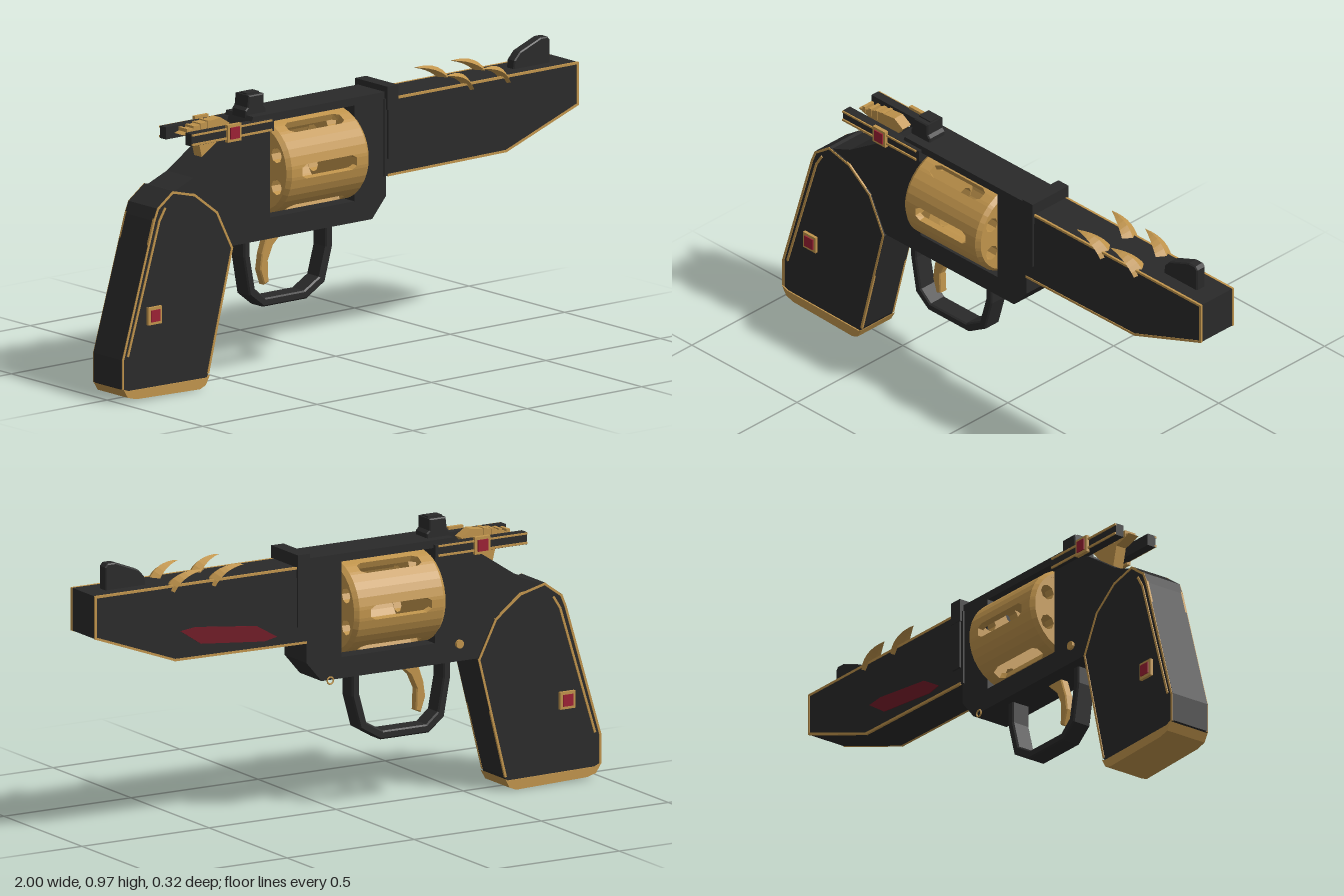
import * as THREE from 'three';

const mat = (name, color, side = THREE.FrontSide) => {
  const m = new THREE.MeshStandardMaterial({ color, side, flatShading: true });
  m.name = name;
  return m;
};

export function createModel() {
  const root = new THREE.Group();
  root.name = 'revolver';
  const dark = mat('blackened steel', 0x2a2a2a);
  const gold = mat('gold', 0xc0944c, THREE.DoubleSide);
  const red = mat('red inlay', 0x701a26);
  const gemRed = mat('red gem', 0x9c2034);

  const add = (name, geo, m, x = 0, y = 0, z = 0) => {
    const mesh = new THREE.Mesh(geo, m);
    mesh.name = name;
    mesh.position.set(x, y, z);
    root.add(mesh);
    return mesh;
  };
  const shapeOf = pts => new THREE.Shape(pts.map(p => new THREE.Vector2(...p)));
  const pathOf = pts => new THREE.Path(pts.map(p => new THREE.Vector2(...p)));
  // side profile extruded to a half width, centred on z
  const slab = (name, pts, half, m, { hole, bevel = 0, z = 0 } = {}) => {
    const s = shapeOf(pts);
    if (hole) s.holes.push(pathOf(hole));
    const depth = 2 * (half - bevel);
    const g = new THREE.ExtrudeGeometry(s, {
      depth, bevelEnabled: bevel > 0, bevelSize: bevel, bevelOffset: -bevel,
      bevelThickness: bevel, bevelSegments: 1, curveSegments: 8
    });
    g.translate(0, 0, -depth / 2);
    return add(name, g, m, 0, 0, z);
  };
  const box = (name, x0, x1, y0, y1, half, m, z = 0) =>
    add(name, new THREE.BoxGeometry(x1 - x0, y1 - y0, half * 2), m, (x0 + x1) / 2, (y0 + y1) / 2, z);
  // thin gold lines along an edge, on both sides
  const trim = (name, pts, half, w = 0.008) => {
    for (const s of [1, -1]) {
      for (let i = 1; i < pts.length; i++) {
        const [ax, ay] = pts[i - 1], [bx, by] = pts[i];
        const g = new THREE.BoxGeometry(Math.hypot(bx - ax, by - ay) + w * 0.6, w, 0.008);
        const b = add(name, g, gold, (ax + bx) / 2, (ay + by) / 2, s * half);
        b.rotation.z = Math.atan2(by - ay, bx - ax);
      }
    }
  };

  // frame with cylinder window
  slab('frame', [[0.16, 0.9], [-0.42, 0.9], [-0.44, 0.85], [-0.52, 0.835], [-0.68, 0.73], [-0.78, 0.69],
    [-0.72, 0.62], [-0.53, 0.47], [0.1, 0.47], [0.16, 0.54]], 0.07, dark,
  { hole: [[-0.346, 0.543], [0.022, 0.543], [0.022, 0.873], [-0.346, 0.873]] });

  // barrel, its trim, band and sights
  slab('barrel', [[0.15, 0.61], [0.68, 0.615], [0.995, 0.73], [0.995, 0.877], [0.15, 0.877]], 0.076, dark);
  trim('barrelTrim', [[0.2, 0.874], [0.993, 0.874], [0.993, 0.732], [0.68, 0.618], [0.165, 0.613]], 0.0745);
  box('bandTop', 0.155, 0.203, 0.84, 0.92, 0.085, dark);
  for (const s of [1, -1]) box('bandSide', 0.16, 0.2, 0.67, 0.85, 0.006, dark, s * 0.077);
  slab('frontSight', [[0.76, 0.87], [0.92, 0.87], [0.92, 0.955], [0.91, 0.967], [0.88, 0.967],
    [0.79, 0.932], [0.765, 0.905]], 0.02, dark, { bevel: 0.004 });
  slab('rearSight', [[-0.425, 0.89], [-0.335, 0.89], [-0.335, 0.915], [-0.345, 0.925], [-0.345, 0.965],
    [-0.41, 0.965], [-0.415, 0.925], [-0.425, 0.915]], 0.037, dark, { bevel: 0.004 });
  slab('sightBlade', [[-0.405, 0.95], [-0.35, 0.95], [-0.35, 0.97], [-0.405, 0.97]], 0.018, dark);

  // red inlay on the right side of the barrel
  slab('barrelInlay', [[0.66, 0.715], [0.6, 0.722], [0.36, 0.695], [0.28, 0.648], [0.33, 0.638], [0.58, 0.662]],
    0.003, red, { z: -0.076 });

  // curved claws: tapering diamond sections along a bent line
  const claw = (x, s) => {
    const curve = new THREE.QuadraticBezierCurve3(
      new THREE.Vector3(x, 0.855, 0.056 * s), new THREE.Vector3(x - 0.03, 0.915, 0.066 * s),
      new THREE.Vector3(x - 0.12, 0.917, 0.083 * s));
    const pos = [], idx = [], n = 7;
    for (let i = 0; i <= n; i++) {
      const t = i / n, p = curve.getPoint(t), d = curve.getTangent(t), k = 1 - t * t;
      for (const [a, b] of [[1, 0], [0, 1], [-1, 0], [0, -1]])
        pos.push(p.x - d.y * b * 0.018 * k, p.y + d.x * b * 0.018 * k, p.z + a * 0.034 * k);
      if (i < n) for (let j = 0; j < 4; j++) {
        const a = i * 4 + j, b = i * 4 + (j + 1) % 4;
        idx.push(a, b, a + 4, b, b + 4, a + 4);
      }
    }
    const g = new THREE.BufferGeometry();
    g.setAttribute('position', new THREE.Float32BufferAttribute(pos, 3));
    g.setIndex(idx);
    g.computeVertexNormals();
    add('claw', g, gold);
  };
  for (const x of [0.53, 0.69]) for (const s of [1, -1]) claw(x, s);

  // cylinder: two scalloped sleeves that leave six slots open between them
  const cx = -0.16, cy = 0.705, R = 0.16, inner = 0.137;
  const cols = [[-30, 0], [-20, 0], [-9, 0], [-9, 0.1], [-5, 0.12], [5, 0.12], [9, 0.1], [9, 0], [20, 0], [30, 0]];
  const sleeve = s => {
    const pos = [], idx = [];
    let n = 0;
    for (let k = 0; k < 6; k++) for (const [deg, cut] of cols) {
      const a = THREE.MathUtils.degToRad(deg + 60 * k);
      for (const [x, r] of [[0.18, 0.148], [0.165, R], [cut, R], [cut, inner], [0.18, inner]])
        pos.push(x * s, Math.sin(a) * r, Math.cos(a) * r);
      n++;
    }
    for (let i = 0; i < n; i++) for (let j = 0; j < 5; j++) {
      const a = i * 5 + j, b = i * 5 + (j + 1) % 5, c = ((i + 1) % n) * 5 + j, d = ((i + 1) % n) * 5 + (j + 1) % 5;
      if (s > 0) idx.push(a, c, b, b, c, d);
      else idx.push(a, b, c, b, d, c);
    }
    const g = new THREE.BufferGeometry();
    g.setAttribute('position', new THREE.Float32BufferAttribute(pos, 3));
    g.setIndex(idx);
    g.computeVertexNormals();
    add('cylinderSleeve', g, gold, cx, cy, 0);
  };
  // end plates with six chambers
  const ring = (r, n, x = 0, y = 0) => Array.from({ length: n }, (_, i) =>
    [x + r * Math.cos(i * 2 * Math.PI / n), y + r * Math.sin(i * 2 * Math.PI / n)]);
  for (const s of [1, -1]) {
    sleeve(s);
    const plate = shapeOf(ring(0.147, 36));
    for (let k = 0; k < 6; k++) {
      const a = Math.PI / 6 + k * Math.PI / 3;
      plate.holes.push(pathOf(ring(0.027, 8, 0.11 * Math.cos(a), 0.11 * Math.sin(a))));
    }
    const g = new THREE.ExtrudeGeometry(plate, { depth: 0.04, bevelEnabled: false });
    g.translate(0, 0, -0.02);
    g.rotateY(Math.PI / 2);
    add('cylinderPlate', g, gold, cx + s * 0.159, cy, 0);
  }

  // grip with gold edges and butt plate
  slab('grip', [[-0.998, 0.05], [-0.97, 0.03], [-0.63, 0.03], [-0.618, 0.05], [-0.512, 0.465], [-0.58, 0.6],
    [-0.68, 0.675], [-0.775, 0.7], [-0.845, 0.65], [-0.86, 0.61], [-0.998, 0.15]], 0.074, dark);
  trim('gripTrim', [[-0.993, 0.05], [-0.993, 0.15], [-0.856, 0.61], [-0.84, 0.648], [-0.775, 0.695],
    [-0.68, 0.671], [-0.583, 0.597], [-0.517, 0.465], [-0.621, 0.05]], 0.0725);
  trim('gripInnerLine', [[-0.972, 0.16], [-0.835, 0.605], [-0.81, 0.645]], 0.0735);
  slab('buttPlate', [[-0.995, 0.05], [-0.975, 0.018], [-0.94, 0.008], [-0.66, 0], [-0.635, 0.01],
    [-0.617, 0.042], [-0.63, 0.035], [-0.97, 0.04]], 0.079, gold);

  // side rails above the hammer
  for (const s of [1, -1]) {
    box('rail', -0.7, -0.34, 0.843, 0.885, 0.016, dark, s * 0.067);
    box('railTrim', -0.7, -0.35, 0.845, 0.852, 0.004, gold, s * 0.084);
    box('railTrim', -0.7, -0.35, 0.878, 0.884, 0.004, gold, s * 0.084);
  }

  // square gems in gold settings
  for (const [x, y, z] of [[-0.52, 0.865, 0.086], [-0.86, 0.285, 0.078]]) for (const s of [1, -1]) {
    box('gemSetting', x - 0.03, x + 0.03, y - 0.03, y + 0.03, 0.007, gold, s * z);
    box('gem', x - 0.02, x + 0.02, y - 0.02, y + 0.02, 0.004, gemRed, s * (z + 0.007));
  }

  // hammer with thumb ridges
  slab('hammer', [[-0.6, 0.77], [-0.55, 0.8], [-0.52, 0.84], [-0.48, 0.88], [-0.52, 0.905], [-0.6, 0.897],
    [-0.69, 0.87], [-0.62, 0.85]], 0.02, gold);
  for (let i = 0; i < 4; i++) {
    const x = -0.67 + i * 0.03;
    box('hammerRidge', x, x + 0.012, 0.865, 0.888 + i * 0.005, 0.022, gold);
  }

  // trigger guard and trigger
  const guard = [[-0.43, 0.48], [-0.43, 0.41], [-0.405, 0.275], [-0.345, 0.228], [-0.155, 0.228],
    [-0.075, 0.275], [-0.043, 0.39], [-0.043, 0.48]];
  const guardIn = [[-0.072, 0.48], [-0.072, 0.395], [-0.1, 0.295], [-0.165, 0.257], [-0.335, 0.257],
    [-0.38, 0.295], [-0.402, 0.41], [-0.402, 0.48]];
  slab('triggerGuard', [...guard, ...guardIn], 0.035, dark, { bevel: 0.005 });
  slab('trigger', [[-0.31, 0.475], [-0.235, 0.475], [-0.285, 0.43], [-0.308, 0.38], [-0.305, 0.305],
    [-0.325, 0.297], [-0.343, 0.35], [-0.335, 0.405]], 0.016, gold, { bevel: 0.004 });

  // small pin and loop on the right side
  const pin = add('framePin', new THREE.CylinderGeometry(0.015, 0.015, 0.014, 10), gold, -0.44, 0.53, -0.073);
  pin.rotation.x = Math.PI / 2;
  add('lanyardLoop', new THREE.TorusGeometry(0.012, 0.003, 6, 12), gold, 0.067, 0.468, -0.072);

  return root;
}
